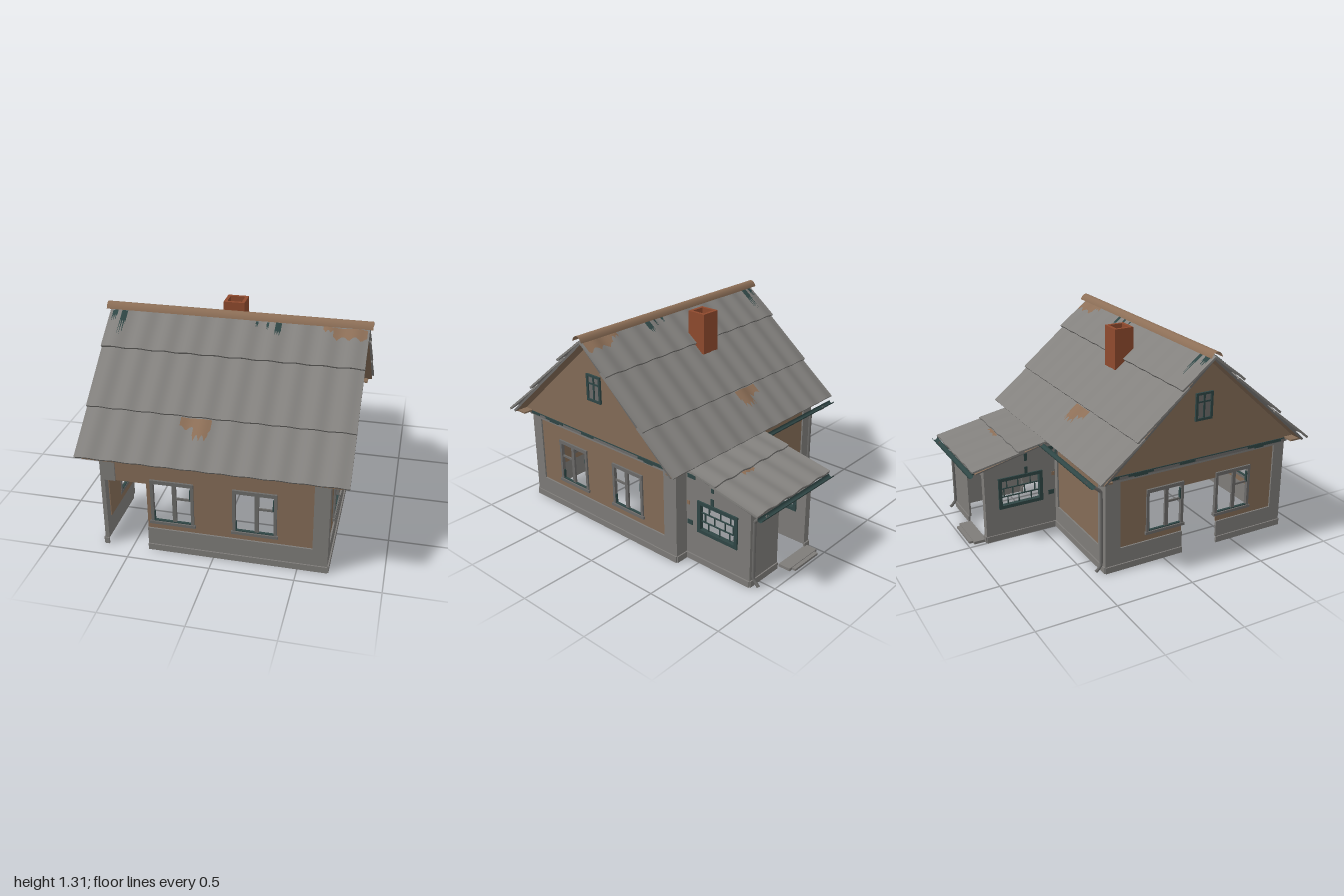
import * as THREE from 'three';
import { mergeGeometries } from 'three/addons/utils/BufferGeometryUtils.js';

const mat = (name, color, side = THREE.FrontSide) => {
  const m = new THREE.MeshStandardMaterial({ color, side });
  m.name = name;
  return m;
};

export function createModel() {
  const M = {
    plaster: mat('grey plaster', 0x7e7c79),
    panel: mat('brown panel', 0x846c57, THREE.DoubleSide),
    roof: mat('grey roof sheet', 0x83817e),
    trim: mat('grey trim', 0x6c6b69, THREE.DoubleSide),
    teal: mat('dark teal paint', 0x2f4645, THREE.DoubleSide),
    rust: mat('rust brown', 0x8d6f57, THREE.DoubleSide),
    brick: mat('brick red', 0x8f4a2e),
  };
  const house = new THREE.Group();
  house.name = 'house';

  // Box between two corners
  const boxGeo = (x0, y0, z0, x1, y1, z1) =>
    new THREE.BoxGeometry(x1 - x0, y1 - y0, z1 - z0).translate((x0 + x1) / 2, (y0 + y1) / 2, (z0 + z1) / 2);
  const add = (parent, name, geo, material) => {
    const m = new THREE.Mesh(geo, material);
    m.name = name;
    parent.add(m);
    return m;
  };
  const boxes = (parent, name, list, material) =>
    add(parent, name, mergeGeometries(list.map(b => boxGeo(...b))), material);
  const place = (name, x, z, turn) => {
    const g = new THREE.Group();
    g.name = name;
    g.position.set(x, 0, z);
    g.rotation.y = turn;
    house.add(g);
    return g;
  };

  // Thin wall split into cells around its openings, with a recessed brown panel and a proud plinth
  function wall(g, w, h, holes, panel, slope = 0) {
    const rects = panel ? [...holes, panel] : holes;
    const cuts = (a, b, lo, hi) =>
      [...new Set([lo, hi, ...rects.flatMap(r => [r[a], r[b]])])].sort((p, q) => p - q);
    const xs = cuts(0, 2, -w / 2, w / 2);
    const ys = [...new Set([...cuts(1, 3, 0, h), 0.04])].sort((p, q) => p - q);
    const grey = [], brown = [];
    const inside = (r, x, y) => x > r[0] && x < r[2] && y > r[1] && y < r[3];
    for (let i = 0; i < xs.length - 1; i++) for (let j = 0; j < ys.length - 1; j++) {
      const x = (xs[i] + xs[i + 1]) / 2, y = (ys[j] + ys[j + 1]) / 2;
      if (holes.some(r => inside(r, x, y))) continue;
      const isPanel = panel && inside(panel, x, y);
      const z = isPanel ? [-0.018, -0.01] : y < 0.04 ? [-0.004, 0.008] : [-0.012, 0];
      const geo = boxGeo(xs[i], ys[j], z[0], xs[i + 1], ys[j + 1], z[1]);
      // Lean-to walls fall away along their top edge
      const p = geo.attributes.position;
      if (slope) for (let k = 0; k < p.count; k++)
        if (p.getY(k) > h - 0.001) p.setY(k, h - Math.abs(slope) * (0.5 + Math.sign(slope) * p.getX(k) / w));
      (isPanel ? brown : grey).push(geo);
    }
    add(g, 'plasterWall', mergeGeometries(grey), M.plaster);
    if (brown.length) add(g, 'brownPanel', mergeGeometries(brown), M.panel);
  }

  // Casement window: casing, sill, off-centre mullion and one cross bar
  const winHole = cx => [cx - 0.115, 0.21, cx + 0.115, 0.465];
  function casement(g, cx, s) {
    const w = new THREE.Group();
    w.name = 'window';
    w.position.x = cx;
    g.add(w);
    boxes(w, 'windowCasing', [
      [-0.13, 0.2, -0.022, -0.112, 0.48, 0], [0.112, 0.2, -0.022, 0.13, 0.48, 0],
      [-0.13, 0.462, -0.022, 0.13, 0.485, 0.002], [-0.138, 0.188, -0.022, 0.138, 0.206, 0.005],
    ], M.trim);
    boxes(w, 'windowBars', [
      [0.012 * s - 0.012, 0.205, -0.02, 0.012 * s + 0.012, 0.465, -0.006],
      [Math.min(0.012 * s, 0.115 * s), 0.364, -0.018, Math.max(0.012 * s, 0.115 * s), 0.377, -0.008],
    ], M.trim);
    boxes(w, 'peelingPaint', [
      [-0.112, 0.205, -0.02, 0.112, 0.212, -0.004], [0.105, 0.37, -0.02, 0.113, 0.44, -0.004],
      [-0.113, 0.21, -0.02, -0.107, 0.27, -0.004],
    ], M.teal);
  }

  // Main walls
  const front = place('frontWall', 0, 0.89, 0);
  wall(front, 1.35, 0.62, [winHole(-0.245), winHole(0.245), [-0.65, 0, -0.4, 0.45]], [-0.585, 0.15, 0.585, 0.58]);
  [-0.245, 0.245].forEach(x => casement(front, x, 1));
  for (const s of [1, -1]) {
    const g = place(s > 0 ? 'leftWall' : 'rightWall', 0.675 * s, 0.245, s * Math.PI / 2);
    const holes = [winHole(-0.26 * s), winHole(0.235 * s)];
    if (s < 0) holes.push([-0.11, 0, 0.145, 0.45]);
    wall(g, 1.29, 0.62, holes, s > 0 ? [-0.565, 0.145, 0.545, 0.58] : [-0.545, 0.145, 0.565, 0.58]);
    [-0.26, 0.235].forEach(x => casement(g, x * s, -s));
    boxes(g, 'cornicePaint', [[-0.64, 0.606, 0.008, -0.56, 0.622, 0.014], [-0.5, 0.606, 0.008, -0.33, 0.622, 0.014],
      [-0.46, 0.598, 0.008, -0.37, 0.61, 0.014], [-0.15, 0.604, 0.008, -0.04, 0.62, 0.014],
      [0.35, 0.604, 0.008, 0.61, 0.622, 0.014], [0.4, 0.596, 0.008, 0.47, 0.61, 0.014],
      [-0.64, 0.618, 0.008, 0.64, 0.624, 0.013]], M.teal);
  }
  // The back wall opens fully into the porch
  const back = place('backWall', 0, -0.4, Math.PI);
  wall(back, 1.35, 0.62, [[-0.56, 0, -0.03, 0.6]], [0.03, 0.15, 0.585, 0.58]);
  boxes(back, 'flakedPaint', [[0.005, 0.52, 0, 0.03, 0.6, 0.004]], M.teal);
  boxes(front, 'cornicePaint', [[-0.62, 0.594, 0.008, -0.53, 0.608, 0.016], [-0.3, 0.597, 0.008, -0.17, 0.607, 0.016],
    [0.14, 0.595, 0.008, 0.28, 0.61, 0.016], [0.56, 0.597, 0.008, 0.67, 0.609, 0.016]], M.teal);
  boxes(house, 'cornice', [[-0.687, 0.598, 0.89, 0.687, 0.625, 0.902], [-0.687, 0.598, -0.41, 0.687, 0.625, -0.4],
    [0.675, 0.598, -0.41, 0.685, 0.625, 0.9], [-0.685, 0.598, -0.41, -0.675, 0.625, 0.9]], M.trim);
  boxes(house, 'soffit', [[-0.75, 0.62, 0.88, 0.75, 0.63, 0.96], [-0.75, 0.62, -0.46, 0.75, 0.63, -0.39]], M.panel);

  // Gables with attic windows
  for (const s of [1, -1]) {
    const g = place('gable', 0.685 * s, 0.25, s * Math.PI / 2);
    const tri = new THREE.Shape([[-0.697, 0.625], [0.697, 0.625], [0, 1.251]].map(p => new THREE.Vector2(...p)));
    add(g, 'gableBoard', new THREE.ExtrudeGeometry(tri, { depth: 0.01, bevelEnabled: false }).translate(0, 0, -0.01), M.panel);
    boxes(g, 'atticPane', [[-0.05, 0.87, 0, 0.05, 1.03, 0.004]], M.trim);
    boxes(g, 'atticFrame', [[-0.06, 0.865, 0, -0.044, 1.038, 0.012], [0.044, 0.865, 0, 0.06, 1.038, 0.012],
      [-0.06, 0.865, 0, 0.06, 0.88, 0.012], [-0.06, 1.024, 0, 0.06, 1.038, 0.012],
      [-0.006, 0.87, 0, 0.006, 1.03, 0.009], [-0.05, 0.975, 0, 0.05, 0.985, 0.009]], M.teal);
  }

  // Roof slope made of overlapping corrugated rows; local z runs down the slope, y is its normal
  const wave = x => -0.006 * Math.cos(x * Math.PI * 2 / 0.157);
  const lift = (s, [s0, s1], rise) => 0.006 + rise * (s - s0) / (s1 - s0);
  function slope(name, pos, angle, turn, x0, x1, rows, rise, board) {
    const g = new THREE.Group();
    g.name = name;
    g.position.set(...pos);
    g.rotation.set(angle, turn, 0, 'YXZ');
    house.add(g);
    for (const row of rows) {
      const geo = new THREE.BoxGeometry(x1 - x0, 0.012, row[1] - row[0], 100, 1, 1)
        .translate((x0 + x1) / 2, 0, (row[0] + row[1]) / 2);
      const p = geo.attributes.position;
      for (let i = 0; i < p.count; i++)
        p.setY(i, p.getY(i) + wave(p.getX(i)) + lift(p.getZ(i), row, rise));
      geo.computeVertexNormals();
      add(g, 'roofRow', geo, M.roof);
      // Dark lip under the lower edge
      const lip = new THREE.PlaneGeometry(x1 - x0, 0.008, 100, 1).translate((x0 + x1) / 2, 0, row[1] + 0.001);
      const q = lip.attributes.position;
      for (let i = 0; i < q.count; i++) q.setY(i, q.getY(i) + wave(q.getX(i)) + 0.002 + rise);
      add(g, 'rowLip', lip, M.trim);
    }
    // Brown boarding with grey ends
    const end = rows[rows.length - 1][1] - 0.015;
    add(g, 'roofBoarding', boxGeo(x0 + 0.01, -board, 0, x1 - 0.01, 0, end),
      [M.trim, M.trim, M.panel, M.panel, M.panel, M.panel]);
    return g;
  }
  // Stain that follows the corrugation; rag sets how uneven its lower edge is
  function stain(g, material, x0, x1, s0, s1, row, rise, rag) {
    const n = 16, pos = [], idx = [];
    for (let i = 0; i <= n; i++) {
      const x = x0 + (x1 - x0) * i / n;
      const end = s0 + (s1 - s0) * (1 - rag * Math.abs(Math.sin(i * 0.55 + x0 * 9)));
      for (const s of [s0, end]) pos.push(x, wave(x) + lift(s, row, rise) + 0.009, s);
      if (i < n) idx.push(2 * i, 2 * i + 1, 2 * i + 2, 2 * i + 1, 2 * i + 3, 2 * i + 2);
    }
    const geo = new THREE.BufferGeometry();
    geo.setAttribute('position', new THREE.Float32BufferAttribute(pos, 3));
    geo.setIndex(idx);
    geo.computeVertexNormals();
    add(g, 'stain', geo, material);
  }
  const rows = [[0, 0.27], [0.225, 0.655], [0.61, 0.968]];
  const pitch = Math.atan2(0.675, 0.75);
  for (const s of [1, -1]) {
    const g = slope(s > 0 ? 'frontRoof' : 'backRoof', [0, 1.272, 0.25], pitch, s > 0 ? 0 : Math.PI, -0.785, 0.785, rows, 0.022, 0.014);
    const mark = (m, a, b, s0, s1, row, rag) => stain(g, m, Math.min(a * s, b * s), Math.max(a * s, b * s), s0, s1, row, 0.022, rag);
    mark(M.rust, -0.21, -0.03, 0.66, 0.74, rows[2], 0.35);
    mark(M.rust, -0.13, -0.04, 0.66, 0.8, rows[2], 0.3);
    mark(M.rust, 0.52, 0.6, 0.02, 0.06, rows[0], 0.5);
    mark(M.rust, 0.58, 0.775, 0.02, 0.105, rows[0], 0.35);
    mark(M.teal, -0.765, -0.73, 0.02, 0.1, rows[0], 0.6);
    mark(M.teal, -0.705, -0.67, 0.02, 0.2, rows[0], 0.65);
    mark(M.teal, 0.12, 0.135, 0.02, 0.06, rows[0], 0.6);
    mark(M.teal, 0.185, 0.2, 0.02, 0.08, rows[0], 0.6);
    mark(M.teal, 0.24, 0.275, 0.02, 0.11, rows[0], 0.4);
  }

  // Arched ridge cap
  const cap = add(house, 'ridgeCap', new THREE.CylinderGeometry(0.045, 0.045, 1.61, 12, 1, true, Math.PI / 6, Math.PI * 2 / 3)
    .rotateZ(Math.PI / 2).scale(1, 1.6, 1), M.rust);
  cap.position.set(0, 1.241, 0.245);

  // Hollow chimney
  boxes(house, 'chimney', [[-0.12, 1.05, -0.03, -0.1, 1.31, 0.1], [-0.01, 1.05, -0.03, 0.01, 1.31, 0.1],
    [-0.1, 1.05, -0.03, -0.01, 1.31, -0.01], [-0.1, 1.05, 0.08, -0.01, 1.31, 0.1]], M.brick);

  // Lean-to porch
  for (const s of [1, -1]) {
    const g = place('porchSideWall', 0.295 + 0.29 * s, -0.64, s * Math.PI / 2);
    wall(g, 0.48, 0.62, [[-0.13, 0.235, 0.13, 0.405]], null, 0.1 * s);
    boxes(g, 'porchWindowFrame', [[-0.15, 0.215, -0.02, -0.128, 0.425, 0.01], [0.128, 0.215, -0.02, 0.15, 0.425, 0.01],
      [-0.15, 0.215, -0.02, 0.15, 0.237, 0.01], [-0.15, 0.403, -0.02, 0.15, 0.425, 0.01]], M.teal);
    const bars = [0.29, 0.347].map(y => [-0.13, y - 0.003, -0.012, 0.13, y + 0.003, -0.004]);
    [[0.235, 0.29, [-0.075, 0.01, 0.085]], [0.29, 0.347, [-0.1, -0.03, 0.05, 0.11]], [0.347, 0.405, [-0.07, 0.015, 0.09]]]
      .forEach(([a, b, xs]) => xs.forEach(x => bars.push([x * s - 0.003, a, -0.012, x * s + 0.003, b, -0.004])));
    boxes(g, 'porchWindowBars', bars, M.teal);
    const flakes = [[-0.23, 0.55, -0.17, 0.575], [-0.05, 0.51, -0.03, 0.56], [-0.23, 0.24, -0.19, 0.27], [-0.05, 0.425, -0.03, 0.47]];
    boxes(g, 'flakedPaint', flakes.map(([a, b, c, d]) =>
      [Math.min(a * s, c * s), b, 0, Math.max(a * s, c * s), d, 0.004]), M.teal);
    boxes(g, 'rustMark', [[Math.min(-0.235 * s, -0.215 * s), 0.37, 0, Math.max(-0.235 * s, -0.215 * s), 0.395, 0.004]], M.rust);
  }
  wall(place('porchBackWall', 0.295, -0.88, Math.PI), 0.58, 0.52, [[-0.03, 0, 0.245, 0.45]], null);
  const porchRows = [[0, 0.245], [0.21, 0.557]];
  const porch = slope('porchRoof', [0, 0.634, -0.42], Math.atan2(0.135, 0.58), Math.PI, -0.64, 0.05, porchRows, 0.012, 0.008);
  stain(porch, M.rust, -0.41, -0.3, 0.249, 0.28, porchRows[1], 0.012, 0.5);
  boxes(house, 'porchStep', [[0.025, 0, -0.96, 0.305, 0.018, -0.88], [0.05, 0, -0.985, 0.28, 0.014, -0.96]], M.plaster);

  // Gutters and downpipes
  const gutter = (x0, x1, y, z) => {
    const m = add(house, 'gutter', new THREE.CylinderGeometry(0.018, 0.018, x1 - x0, 10, 1, true, Math.PI, Math.PI).rotateZ(Math.PI / 2), M.teal);
    m.position.set((x0 + x1) / 2, y, z);
  };
  gutter(-0.745, -0.05, 0.628, -0.516);
  gutter(-0.05, 0.64, 0.512, -0.982);
  const pipe = pts => add(house, 'downpipe', new THREE.TubeGeometry(
    new THREE.CatmullRomCurve3(pts.map(p => new THREE.Vector3(...p)), false, 'catmullrom', 0.1), 40, 0.01, 8), M.trim);
  pipe([[0.565, 0.5, -0.98], [0.565, 0.485, -0.96], [0.565, 0.43, -0.893], [0.565, 0.06, -0.893], [0.565, 0.015, -0.93]]);
  pipe([[-0.65, 0.615, -0.515], [-0.65, 0.6, -0.5], [-0.65, 0.53, -0.415], [-0.65, 0.06, -0.415], [-0.65, 0.015, -0.45]]);

  return house;
}
